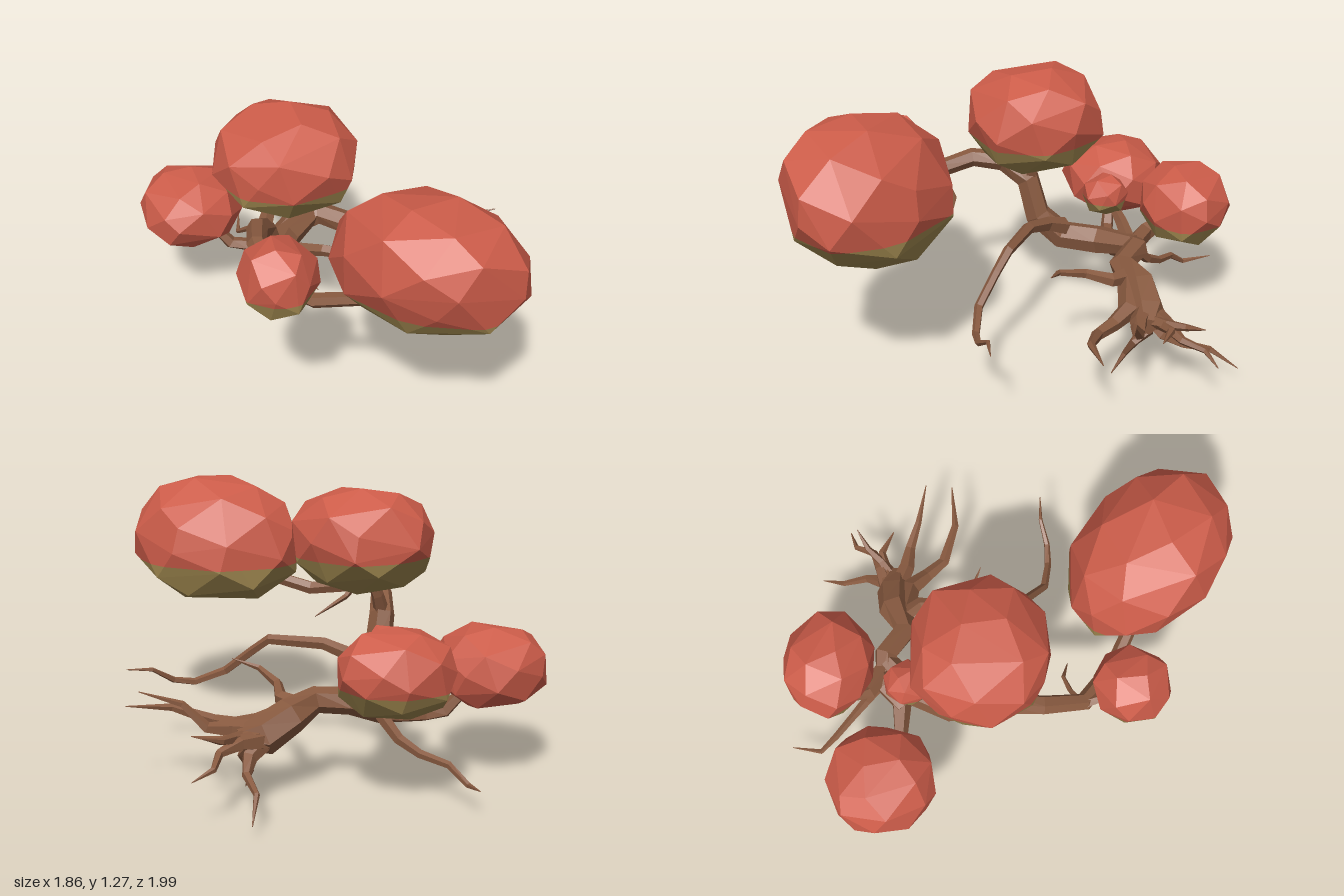
import * as THREE from 'three';
import { ConvexGeometry } from 'three/addons/geometries/ConvexGeometry.js';

const bark = new THREE.MeshStandardMaterial({ name: 'bark brown', color: 0x87593f });
const red = new THREE.MeshStandardMaterial({ name: 'leaf red', color: 0xcc5c49 });
const olive = new THREE.MeshStandardMaterial({ name: 'underside olive', color: 0x98814b });

function seeded(seed) {
  let s = seed * 7919 + 17;
  return () => (s = (s * 16807) % 2147483647) / 2147483647;
}

function meshFrom(positions, material, name) {
  const g = new THREE.BufferGeometry();
  g.setAttribute('position', new THREE.Float32BufferAttribute(positions, 3));
  g.computeVertexNormals();
  const m = new THREE.Mesh(g, material);
  m.name = name;
  return m;
}

// Faceted tapering limb through points [x, y, z, radius]
function limb(name, pts, sides = 5) {
  const p = pts.map(a => new THREE.Vector3(a[0], a[1], a[2]));
  const normal = new THREE.Vector3(0.13, 0.9, 0.31);
  const rings = p.map((c, i) => {
    const t = p[Math.min(i + 1, p.length - 1)].clone().sub(p[Math.max(i - 1, 0)]).normalize();
    normal.addScaledVector(t, -normal.dot(t)).normalize();
    const side = t.clone().cross(normal);
    return Array.from({ length: sides }, (_, k) => {
      const a = (k / sides) * Math.PI * 2;
      return c.clone().addScaledVector(normal, Math.cos(a) * pts[i][3]).addScaledVector(side, Math.sin(a) * pts[i][3]);
    });
  });
  const out = [];
  const tri = (...v) => v.forEach(q => out.push(q.x, q.y, q.z));
  const last = rings.length - 1;
  for (let k = 0; k < sides; k++) {
    const n = (k + 1) % sides;
    for (let i = 0; i < last; i++) {
      tri(rings[i][k], rings[i][n], rings[i + 1][n]);
      tri(rings[i][k], rings[i + 1][n], rings[i + 1][k]);
    }
    tri(p[0], rings[0][n], rings[0][k]);
    tri(p[last], rings[last][k], rings[last][n]);
  }
  return meshFrom(out, bark, name);
}

// Keep the part of a convex triangle soup above (sign 1) or below (sign -1) height h
function clip(src, h, sign) {
  const out = [];
  const v = [0, 1, 2].map(() => new THREE.Vector3());
  for (let i = 0; i < src.count; i += 3) {
    const poly = [];
    v.forEach((q, k) => q.fromBufferAttribute(src, i + k));
    v.forEach((a, k) => {
      const b = v[(k + 1) % 3];
      const da = (a.y - h) * sign, db = (b.y - h) * sign;
      if (da >= 0) poly.push(a.clone());
      if (da * db < 0) poly.push(a.clone().lerp(b, da / (da - db)));
    });
    for (let k = 1; k + 1 < poly.length; k++)
      [poly[0], poly[k], poly[k + 1]].forEach(q => out.push(q.x, q.y, q.z));
  }
  return out;
}

// Full-bodied faceted clump filling a box, olive below height split;
// lean tips the top forward, skew slants the plan shape
function clump(name, min, max, split, seed, count, lean = 0, skew = 0) {
  const rnd = seeded(seed);
  const pts = [];
  for (let i = 0; i < count; i++) {
    const y = 1 - (2 * (i + 0.5)) / count;
    const a = i * 2.39996 + seed + (rnd() - 0.5) * 0.35;
    const r = Math.sqrt(1 - y * y);
    const k = (0.97 + rnd() * 0.06) / Math.pow(Math.pow(r, 2.3) + Math.pow(Math.abs(y), 2.3), 1 / 2.3);
    const x = Math.cos(a) * r * k, z = Math.sin(a) * r * k;
    pts.push(new THREE.Vector3(x + skew * z, y * k, z + skew * x + lean * y));
  }
  const box = new THREE.Box3().setFromPoints(pts);
  const size = box.getSize(new THREE.Vector3());
  const lo = new THREE.Vector3(...min), span = new THREE.Vector3(...max).sub(lo);
  pts.forEach(q => q.sub(box.min).divide(size).multiply(span).add(lo));
  const src = new ConvexGeometry(pts).getAttribute('position');
  const g = new THREE.Group();
  g.name = name;
  g.add(meshFrom(clip(src, split, 1), red, name + 'Top'));
  if (split > min[1]) g.add(meshFrom(clip(src, split, -1), olive, name + 'Underside'));
  return g;
}

export function createModel() {
  const model = new THREE.Group();
  model.name = 'bonsaiTree';

  // Trunk and the main rising bough
  model.add(
    limb('trunk', [[0.45, 0.28, -0.57, 0.045], [0.34, 0.29, -0.57, 0.09], [0.22, 0.36, -0.54, 0.08],
      [0.1, 0.4, -0.46, 0.06], [-0.04, 0.41, -0.53, 0.06], [-0.18, 0.36, -0.5, 0.065], [-0.26, 0.33, -0.4, 0.05]], 6),
    limb('mainBough', [[-0.08, 0.41, -0.52, 0.05], [-0.2, 0.37, -0.36, 0.07], [-0.25, 0.37, -0.17, 0.07], [-0.25, 0.48, -0.05, 0.065],
      [-0.28, 0.66, 0.0, 0.06], [-0.3, 0.74, 0.12, 0.05], [-0.29, 0.76, 0.27, 0.045], [-0.23, 0.71, 0.45, 0.042],
      [-0.02, 0.67, 0.56, 0.035], [0.25, 0.75, 0.64, 0.03]], 6));

  // Branches that carry the clumps
  model.add(
    limb('crownBranch', [[-0.28, 0.66, 0.0, 0.04], [-0.25, 0.76, -0.04, 0.03], [-0.2, 0.88, -0.06, 0.025]]),
    limb('frontBranch', [[-0.24, 0.71, 0.44, 0.03], [-0.2, 0.73, 0.53, 0.025], [-0.17, 0.82, 0.62, 0.02]]),
    limb('rightBranch', [[-0.12, 0.36, -0.5, 0.05], [-0.26, 0.31, -0.42, 0.05], [-0.4, 0.29, -0.4, 0.035],
      [-0.49, 0.3, -0.4, 0.033], [-0.6, 0.42, -0.41, 0.025]]),
    limb('backBranch', [[-0.1, 0.4, -0.52, 0.045], [-0.24, 0.4, -0.58, 0.045], [-0.29, 0.43, -0.66, 0.035], [-0.22, 0.53, -0.76, 0.025]]),
    limb('budBranch', [[-0.14, 0.4, -0.5, 0.035], [-0.19, 0.48, -0.46, 0.03], [-0.24, 0.58, -0.4, 0.02]]));

  // Long bare branch sweeping to the left side, and loose twigs
  model.add(
    limb('longBranch', [[-0.22, 0.43, -0.18, 0.045], [-0.14, 0.48, -0.1, 0.036], [0.0, 0.53, -0.02, 0.03], [0.25, 0.54, 0.06, 0.025],
      [0.33, 0.47, 0.11, 0.022], [0.45, 0.36, 0.18, 0.021], [0.6, 0.31, 0.18, 0.018], [0.7, 0.33, 0.16, 0.015],
      [0.8, 0.4, 0.11, 0.01], [0.92, 0.41, 0.09, 0.002]]),
    limb('boughTwig', [[-0.24, 0.72, 0.44, 0.02], [-0.17, 0.66, 0.38, 0.014], [-0.1, 0.63, 0.34, 0.01], [-0.01, 0.57, 0.35, 0.002]], 4),
    limb('upperTwig', [[0.16, 0.38, -0.5, 0.045], [0.25, 0.4, -0.41, 0.032], [0.25, 0.43, -0.29, 0.022],
      [0.32, 0.47, -0.17, 0.014], [0.44, 0.51, -0.14, 0.002]]),
    limb('backTwig', [[-0.16, 0.36, -0.52, 0.03], [-0.24, 0.25, -0.6, 0.025], [-0.32, 0.2, -0.66, 0.02],
      [-0.43, 0.17, -0.73, 0.017], [-0.5, 0.1, -0.8, 0.013], [-0.51, 0.13, -0.94, 0.002]]));

  // Roots fanning out from the trunk foot
  const roots = [
    [[0.2, 0.36, -0.5, 0.06], [0.36, 0.31, -0.49, 0.05], [0.45, 0.29, -0.42, 0.035], [0.54, 0.29, -0.35, 0.028], [0.72, 0.35, -0.32, 0.018], [0.92, 0.38, -0.37, 0.002]],
    [[0.3, 0.3, -0.57, 0.05], [0.47, 0.31, -0.53, 0.04], [0.58, 0.32, -0.53, 0.026], [0.68, 0.42, -0.5, 0.016], [0.86, 0.48, -0.49, 0.002]],
    [[0.3, 0.3, -0.57, 0.05], [0.43, 0.29, -0.63, 0.035], [0.53, 0.31, -0.67, 0.02], [0.65, 0.32, -0.63, 0.002]],
    [[0.34, 0.28, -0.6, 0.05], [0.45, 0.29, -0.66, 0.035], [0.54, 0.27, -0.72, 0.02], [0.57, 0.24, -0.82, 0.014], [0.66, 0.21, -0.87, 0.002]],
    [[0.33, 0.28, -0.58, 0.05], [0.41, 0.22, -0.65, 0.035], [0.43, 0.18, -0.74, 0.02], [0.4, 0.14, -0.86, 0.014], [0.43, 0.06, -0.99, 0.002]],
    [[0.3, 0.3, -0.57, 0.05], [0.4, 0.23, -0.57, 0.04], [0.43, 0.19, -0.52, 0.022], [0.39, 0.1, -0.48, 0.014], [0.41, 0.0, -0.42, 0.002]],
    [[0.42, 0.29, -0.6, 0.035], [0.48, 0.31, -0.66, 0.025], [0.53, 0.33, -0.74, 0.016], [0.61, 0.37, -0.81, 0.002]],
  ];
  roots.forEach((r, i) => model.add(limb('root' + (i + 1), r)));

  // Foliage clumps
  model.add(
    clump('largeFoliage', [0.04, 0.62, 0.28], [0.87, 1.24, 1.0], 0.825, 3, 40, 0.2, 0.12),
    clump('crownFoliage', [-0.5, 0.78, -0.36], [0.15, 1.27, 0.27], 0.96, 5, 36),
    clump('frontFoliage', [-0.34, 0.68, 0.47], [0.01, 1.02, 0.82], 0.81, 8, 26),
    clump('rightFoliage', [-0.94, 0.33, -0.68], [-0.43, 0.7, -0.16], 0.3, 11, 34),
    clump('backFoliage', [-0.45, 0.41, -0.98], [0.05, 0.78, -0.55], 0.54, 14, 32),
    clump('budFoliage', [-0.34, 0.51, -0.49], [-0.13, 0.7, -0.27], 0.585, 17, 20));
  return model;
}
